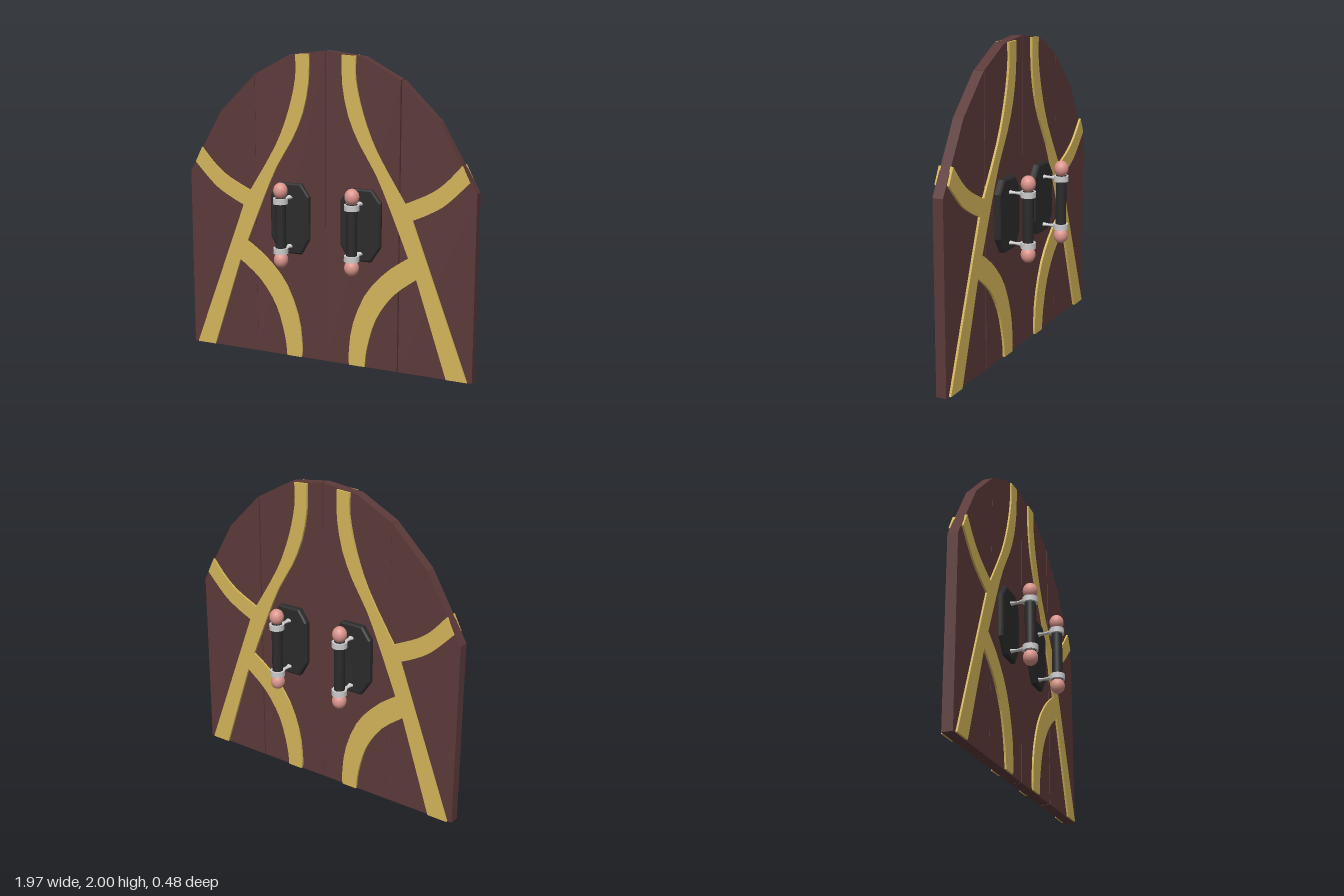
import * as THREE from 'three';

const material = (color, flatShading = false) => new THREE.MeshStandardMaterial({ color, flatShading });
const wood = material(0x5c3a39, true);
const gold = material(0xd4b55a, true);
const iron = material(0x2b2b2b, true);
const grip = material(0x2b2b2b);
const steel = material(0xcccccc);
const pink = material(0xdb958c);

const FRONT = 0.038, BACK = -0.029;

function add(parent, name, geometry, mat, x = 0, y = 0, z = 0) {
  const mesh = new THREE.Mesh(geometry, mat);
  mesh.name = name;
  mesh.position.set(x, y, z);
  parent.add(mesh);
  return mesh;
}

// Shape from points, mirrored to either side
const polygon = (points, side) => new THREE.Shape(points.map(([x, y]) => new THREE.Vector2(side * x, y)));

// Flat slab between two depths, optionally with a bevelled rim
function slab(shape, z0, z1, bevel = 0) {
  const geometry = new THREE.ExtrudeGeometry(shape, {
    depth: z1 - z0 - 2 * bevel, bevelEnabled: bevel > 0, bevelSegments: 1,
    bevelSize: bevel, bevelThickness: bevel, bevelOffset: -bevel,
  });
  return geometry.translate(0, 0, z0 + bevel);
}

const smooth = (points) => new THREE.SplineCurve(points.map((p) => new THREE.Vector2(...p)))
  .getPoints(12).map((p) => [p.x, p.y]);

// Outline of the branching strap on one leaf
function strapOutline() {
  return [
    // inner edge of the main strap
    ...smooth([[0.11, 1.98], [0.115, 1.8], [0.155, 1.61], [0.23, 1.44], [0.34, 1.26], [0.44, 1.04], [0.56, 0.75]]),
    // lower branch
    ...smooth([[0.56, 0.75], [0.42, 0.65], [0.28, 0.49], [0.19, 0.27], [0.165, 0.07], [0.17, 0.003]]),
    ...smooth([[0.275, 0.003], [0.29, 0.13], [0.35, 0.33], [0.465, 0.5], [0.615, 0.62]]),
    // foot
    [0.82, 0.003], [0.955, 0.003],
    // outer edge and upper branch
    ...smooth([[0.585, 0.99], [0.69, 1.04], [0.80, 1.11], [0.94, 1.25]]),
    ...smooth([[0.89, 1.35], [0.79, 1.24], [0.69, 1.165], [0.535, 1.09]]),
    ...smooth([[0.535, 1.09], [0.35, 1.39], [0.255, 1.62], [0.205, 1.83], [0.205, 1.975]]),
  ];
}

// Pull handle standing off one face; built for the front, turned for the back
function createHandle() {
  const handle = new THREE.Group();
  const Z = 0.19;
  add(handle, 'gripBar', new THREE.CylinderGeometry(0.034, 0.034, 0.36, 24), grip, 0, 0.91, Z);
  const stemProfile = [[0.03, 0.055], [0.018, 0.07], [0.013, 0.09], [0.013, 0.115], [0.018, 0.135], [0.03, 0.155]]
    .map((p) => new THREE.Vector2(...p));
  for (const [y, knobY] of [[0.75, 0.69], [1.07, 1.135]]) {
    add(handle, 'collar', new THREE.CylinderGeometry(0.048, 0.048, 0.036, 24), steel, 0, y, Z);
    const stem = add(handle, 'stem', new THREE.LatheGeometry(stemProfile, 16).rotateX(Math.PI / 2), steel, 0, y, 0);
    stem.scale.y = 0.65;
    stem.material = steel;
    add(handle, 'knob', new THREE.SphereGeometry(0.046, 24, 16), pink, 0, knobY, Z).scale.y = 1.12;
  }
  return handle;
}

export function createModel() {
  const model = new THREE.Group();
  model.name = 'archedDoor';

  const plate = [[0.165, 1.16], [0.32, 1.16], [0.38, 1.08], [0.38, 0.8], [0.315, 0.7],
    [0.165, 0.7], [0.108, 0.8], [0.108, 1.08]];

  for (const side of [-1, 1]) {
    const leaf = new THREE.Group();
    leaf.name = side > 0 ? 'leftLeaf' : 'rightLeaf';
    model.add(leaf);

    // Planks; the left leaf has a narrow gap between its two
    const gap = side > 0 ? 0.004 : 0.0005;
    const seam = 0.496;
    const inner = [[0.001, 0], [seam - gap, 0], [seam - gap, 1.84], [0.247, 1.97], [0.001, 2]];
    const outer = [[seam + gap, 0], [0.984, 0], [0.984, 1.185], [0.742, 1.6], [seam + gap, 1.838]];
    add(leaf, 'innerPlank', slab(polygon(inner, side), BACK, FRONT), wood);
    add(leaf, 'outerPlank', slab(polygon(outer, side), BACK, FRONT), wood);

    // Straps and handle plates on both faces
    const strap = polygon(strapOutline(), side);
    add(leaf, 'frontStrap', slab(strap, FRONT - 0.004, 0.05), gold);
    add(leaf, 'backStrap', slab(strap, -0.044, BACK + 0.004), gold);
    add(leaf, 'handlePlates', slab(polygon(plate, side), -0.068, 0.066, 0.01), iron);

    // Handles on both faces
    for (const face of ['front', 'back']) {
      const handle = createHandle();
      handle.name = face + 'Handle';
      handle.position.x = side * 0.243;
      if (face === 'back') handle.rotation.y = Math.PI;
      leaf.add(handle);
    }
  }
  return model;
}
